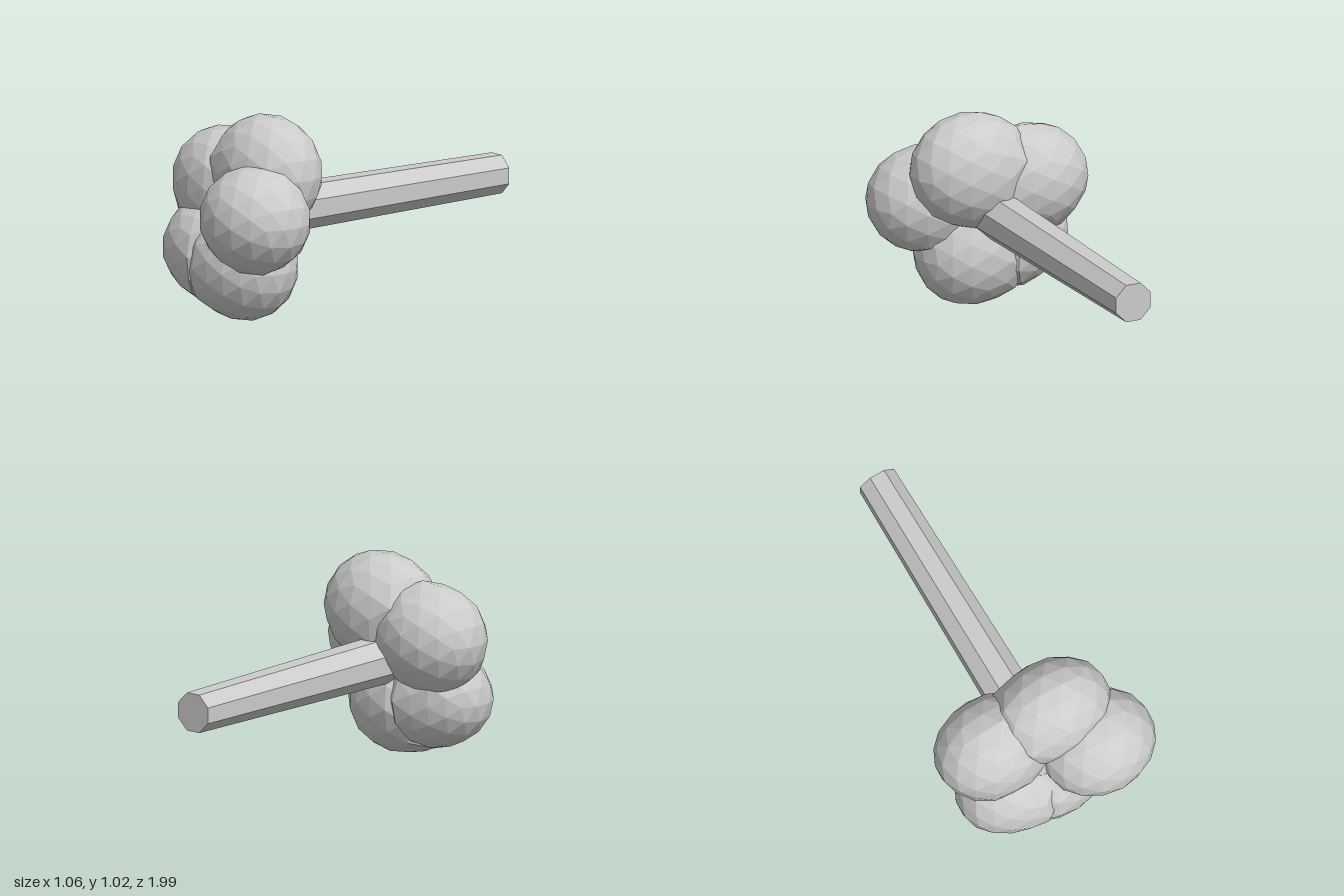
import * as THREE from 'three';

const material = new THREE.MeshStandardMaterial({ color: 0xcccccc, flatShading: true });

// Lumps of the head: name, centre, radii, width of the soft blend into neighbours
const lumps = [
  ['frontLump', [0.238, 0.545, 0.735], [0.298, 0.268, 0.262], 0.03],
  ['topLump', [0.09, 0.737, 0.535], [0.313, 0.288, 0.242], 0.09],
  ['upperSideLump', [-0.245, 0.645, 0.525], [0.295, 0.268, 0.247], 0.09],
  ['lowerSideLump', [-0.215, 0.318, 0.635], [0.27, 0.24, 0.235], 0.17],
  ['bottomLump', [0.045, 0.27, 0.637], [0.277, 0.272, 0.25], 0.17],
].map(([name, c, r, blend]) => ({
  name, blend, centre: new THREE.Vector3(...c), radii: new THREE.Vector3(...r),
}));

// Approximate distance from a point to the surface of an ellipsoid
function distanceTo(p, { centre, radii }) {
  const q = p.clone().sub(centre).divide(radii);
  const k = q.length();
  return (k * (k - 1)) / q.divide(radii).length();
}

// Faceted ellipsoid that swells where it meets its neighbours, filling the seams
function buildLump(lump) {
  const geometry = new THREE.IcosahedronGeometry(1, 2);
  const pos = geometry.attributes.position;
  const dir = new THREE.Vector3();
  for (let i = 0; i < pos.count; i++) {
    dir.fromBufferAttribute(pos, i);
    const p = dir.clone().multiply(lump.radii).add(lump.centre);
    let swell = 0;
    for (const other of lumps) {
      if (other === lump) continue;
      const blend = Math.min(lump.blend, other.blend);
      const h = Math.max(0, 1 - Math.abs(distanceTo(p, other)) / blend);
      swell = Math.max(swell, (h * h * blend) / 4);
    }
    p.addScaledVector(dir, swell);
    pos.setXYZ(i, p.x, p.y, p.z);
  }
  geometry.computeVertexNormals();
  const mesh = new THREE.Mesh(geometry, material);
  mesh.name = lump.name;
  return mesh;
}

export function createModel() {
  const model = new THREE.Group();
  model.name = 'lumpyClusterOnStem';

  const head = new THREE.Group();
  head.name = 'head';
  lumps.forEach((lump) => head.add(buildLump(lump)));

  // Core closing the hollow between the lumps
  const core = new THREE.Mesh(new THREE.IcosahedronGeometry(0.17, 1), material);
  core.name = 'core';
  core.position.set(-0.04, 0.5, 0.59);
  head.add(core);
  model.add(head);

  // Eight-sided stem, a little thinner at its free end
  const stemGeometry = new THREE.CylinderGeometry(0.104, 0.124, 1.5, 8);
  stemGeometry.rotateY(Math.PI / 8);
  stemGeometry.rotateX(-Math.PI / 2);
  const stem = new THREE.Mesh(stemGeometry, material);
  stem.name = 'stem';
  stem.position.set(-0.008, 0.512, -0.25);
  model.add(stem);

  return model;
}
